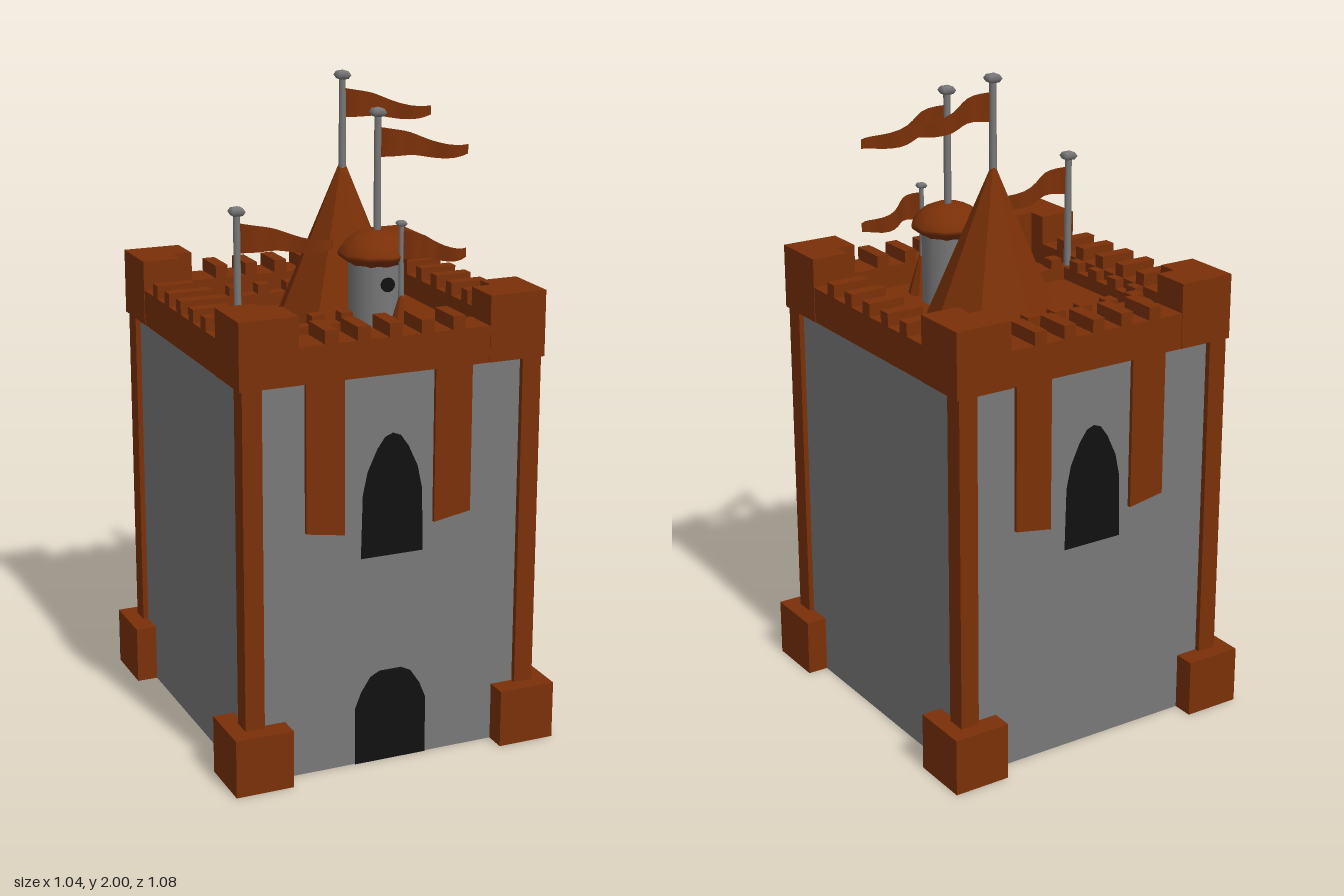
import * as THREE from 'three';

const mat = (color, extra = {}) => new THREE.MeshStandardMaterial({ color, ...extra });
const STONE = mat(0x787878, { side: THREE.DoubleSide });
const BROWN = mat(0x7a3008);
const BROWN_FLAT = mat(0x7a3008, { flatShading: true, side: THREE.DoubleSide });
const BROWN_THIN = mat(0x7a3008, { side: THREE.DoubleSide });
const DARK = mat(0x111111, { side: THREE.DoubleSide });

export function createModel() {
  const model = new THREE.Group();

  const add = (name, geo, material, x = 0, y = 0, z = 0, parent = model) => {
    const m = new THREE.Mesh(geo, material);
    m.name = name;
    m.position.set(x, y, z);
    parent.add(m);
    return m;
  };
  // box given by its centre on the ground plan and its bottom and top heights
  const block = (name, x, z, w, d, y0, y1) =>
    add(name, new THREE.BoxGeometry(w, y1 - y0, d), BROWN, x, (y0 + y1) / 2, z);
  const polygon = pts => new THREE.Shape(pts.map(p => new THREE.Vector2(...p)));
  const extrude = (shape, depth) => new THREE.ExtrudeGeometry(shape, { depth, bevelEnabled: false });
  // half outline mirrored across x = 0
  const symmetric = half => polygon([...half, ...half.slice().reverse().filter(p => p[0] !== 0).map(([x, y]) => [-x, y])]);

  // Keep walls, open below and above
  const walls = new THREE.BoxGeometry(0.91, 1.25, 0.95);
  const faces = Array.from(walls.index.array);
  faces.splice(12, 12);
  walls.setIndex(faces);
  walls.clearGroups();
  add('walls', walls, STONE, 0, 0.625, 0);

  // Corner feet, pillars and L-shaped corner turrets
  const corner = [[0.3, 0.375], [0.36, 0.375], [0.36, 0.312], [0.48, 0.312], [0.48, 0.497], [0.3, 0.497]];
  for (const sx of [-1, 1]) for (const sz of [-1, 1]) {
    block('cornerFoot', sx * 0.43, sz * 0.448, 0.18, 0.188, 0, 0.18);
    block('cornerPillar', sx * 0.441, sz * 0.462, 0.06, 0.062, 0.17, 1.22);
    const turret = extrude(polygon(corner.map(([x, z]) => [sx * x, sz * z])), 0.2);
    add('cornerTurret', turret.rotateX(-Math.PI / 2), BROWN, 0, 1.21, 0);
  }

  // Parapet ring and roof floor
  const ring = polygon([[-0.478, -0.495], [0.478, -0.495], [0.478, 0.495], [-0.478, 0.495]]);
  ring.holes.push(polygon([[-0.36, -0.375], [-0.36, 0.375], [0.36, 0.375], [0.36, -0.375]]));
  add('parapet', extrude(ring, 0.11).rotateX(-Math.PI / 2), BROWN, 0, 1.21, 0);
  add('roofFloor', new THREE.PlaneGeometry(0.74, 0.77).rotateX(-Math.PI / 2), BROWN_THIN, 0, 1.25, 0);

  // Merlons on all four sides
  for (let i = -2; i <= 2; i++) for (const s of [-1, 1]) {
    block('merlon', i * 0.1, s * 0.435, 0.04, 0.12, 1.32, 1.36);
    block('merlon', s * 0.419, i * 0.105, 0.118, 0.04, 1.32, 1.36);
  }

  // Inner low battlement
  block('innerWall', -0.13, -0.262, 0.455, 0.042, 1.25, 1.29);
  block('innerWall', -0.16, 0.167, 0.4, 0.042, 1.25, 1.29);
  block('innerWall', -0.345, -0.045, 0.03, 0.45, 1.25, 1.29);
  for (let i = 0; i < 5; i++) {
    const x = -0.3 + i * 0.095;
    block('innerMerlon', x, -0.262, 0.04, 0.042, 1.29, 1.32);
    if (i < 4) {
      block('innerMerlon', x, 0.167, 0.04, 0.042, 1.29, 1.32);
      block('innerMerlon', -0.345, -0.205 + i * 0.1, 0.03, 0.045, 1.29, 1.32);
    }
  }

  // Windows, door and hanging banners
  const windowShape = symmetric([[0.1, 0.655], [0.095, 0.85], [0.08, 0.92], [0.05, 0.985], [0.025, 1.02], [0, 1.03]]);
  const doorShape = symmetric([[0.115, 0], [0.115, 0.18], [0.095, 0.23], [0.065, 0.275], [0.035, 0.29]]);
  for (const front of [true, false]) {
    const face = new THREE.Group();
    face.name = front ? 'frontFace' : 'backFace';
    face.rotation.y = front ? 0 : Math.PI;
    model.add(face);
    add('window', new THREE.ShapeGeometry(windowShape), DARK, 0, 0, 0.479, face);
    if (front) add('door', extrude(doorShape, 0.1), DARK, 0, 0, 0.379, face);
    for (const s of [-1, 1]) {
      const a = s < 0 ? -0.275 : 0.25, b = s < 0 ? -0.155 : 0.132;
      const cloth = polygon([[a, 1.22], [a, 0.76], [b, 0.74], [b, 1.22]]);
      add('banner', extrude(cloth, 0.014), BROWN, 0, 0, 0.473, face);
    }
  }

  // Pole with a squarish knob and a waving, tapering pennant
  const flagpole = (x, z, y0, y1, length, flagTop, r = 0.012) => {
    const g = new THREE.Group();
    g.name = 'flagpole';
    g.position.set(x, 0, z);
    model.add(g);
    add('pole', new THREE.CylinderGeometry(r * 0.9, r, y1 - y0 - 0.02, 8), STONE, 0, (y0 + y1 - 0.02) / 2, 0, g);
    const knob = new THREE.SphereGeometry(r * 2.4, 4, 4).rotateY(Math.PI / 4).scale(1, 0.55, 1);
    add('knob', knob, STONE, 0, y1 - r * 1.32, 0, g);
    const cloth = new THREE.PlaneGeometry(1, 1, 12, 1);
    const p = cloth.attributes.position;
    for (let i = 0; i < p.count; i++) {
      const u = p.getX(i) + 0.5, v = p.getY(i);
      const h = 0.088 - 0.06 * u;
      const mid = -0.045 - 0.045 * u + 0.01 * Math.sin(u * 7) * (0.4 + 0.6 * u);
      p.setXYZ(i, u * length, flagTop + mid + v * h, 0.019 * Math.sin(u * 9));
    }
    cloth.computeVertexNormals();
    add('flag', cloth, BROWN_THIN, 0.008, 0, 0, g);
  };

  // Large octagonal spire
  add('spire', new THREE.ConeGeometry(0.21, 0.49, 8, 1, true), BROWN_FLAT, 0.08, 1.495, -0.07);
  flagpole(0.079, -0.067, 1.68, 2.0, 0.285, 1.945);

  // Round turret with dome and porthole
  add('turret', new THREE.CylinderGeometry(0.083, 0.083, 0.25, 16, 1, true), STONE, 0.083, 1.365, 0.175);
  const dome = [[0.08, 1.46], [0.114, 1.485], [0.116, 1.497], [0.097, 1.523], [0.07, 1.545], [0.035, 1.558], [0, 1.56]];
  add('dome', new THREE.LatheGeometry(dome.map(p => new THREE.Vector2(...p)), 10), BROWN_THIN, 0.083, 0, 0.175);
  add('porthole', new THREE.CylinderGeometry(0.022, 0.022, 0.02, 12).rotateX(Math.PI / 2), DARK, 0.083, 1.41, 0.251);
  flagpole(0.087, 0.171, 1.55, 1.922, 0.285, 1.863);

  // Small spire beside the turret
  add('smallSpire', new THREE.ConeGeometry(0.045, 0.15, 8, 1, true), BROWN_FLAT, 0.117, 1.325, 0.277);
  flagpole(0.117, 0.275, 1.37, 1.605, 0.2, 1.575, 0.008);

  // Free-standing flagpole on the side parapet
  flagpole(-0.353, 0.162, 1.25, 1.662, 0.29, 1.612);

  // Inner floor disc, drum and columns seen through the open base
  add('baseDisc', new THREE.CylinderGeometry(0.31, 0.31, 0.012, 24), BROWN, 0, 0.006, 0);
  add('innerDrum', new THREE.CylinderGeometry(0.27, 0.27, 0.5, 24, 1, true), STONE, 0, 0.25, 0);
  for (const [x, z] of [[0.03, 0.34], [-0.37, 0.155], [-0.38, -0.23], [-0.01, -0.29]])
    add('innerColumn', new THREE.CylinderGeometry(0.04, 0.04, 0.5, 10), BROWN, x, 0.25, z);

  return model;
}
